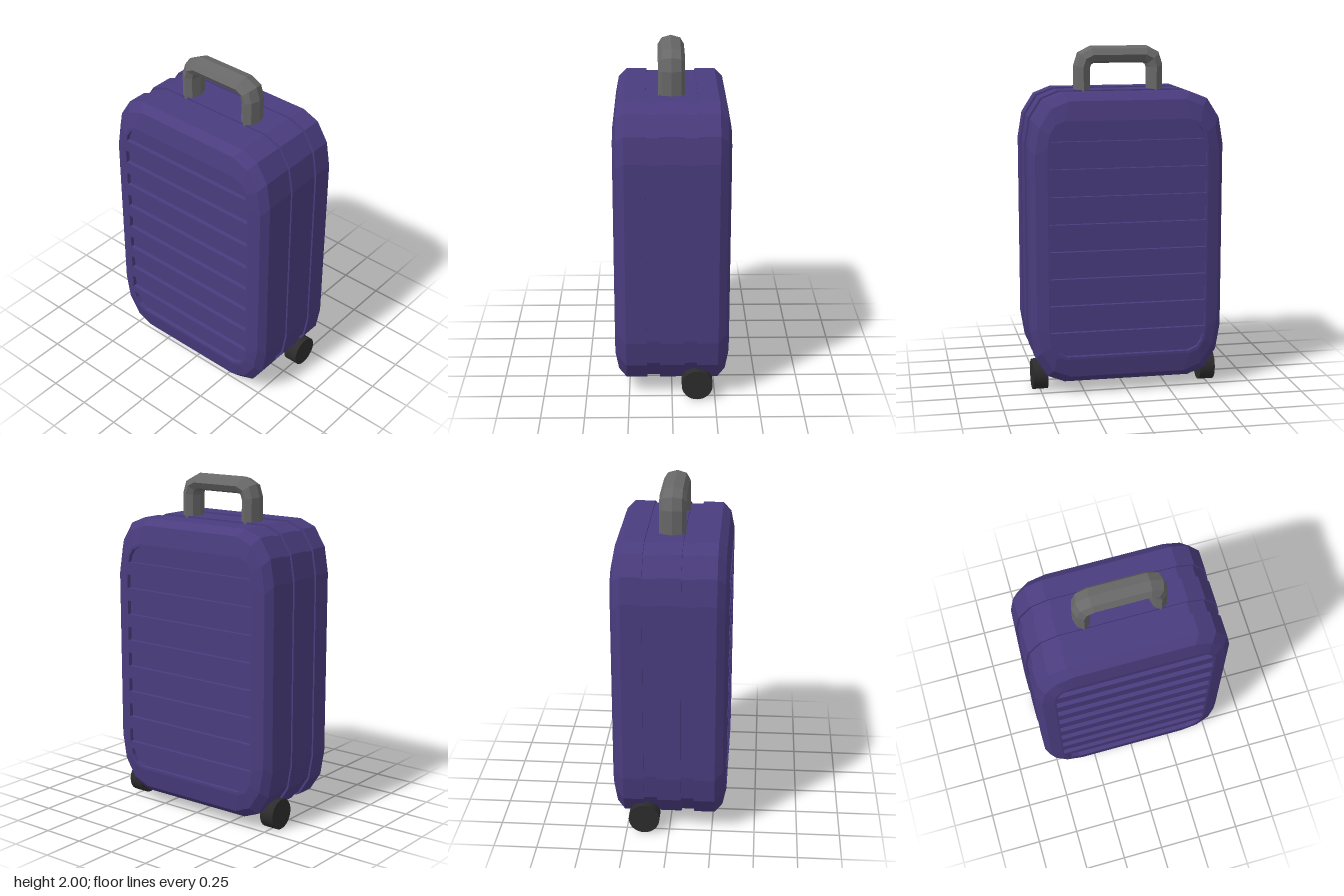
import * as THREE from 'three';

const paint = (color, flatShading = true) => new THREE.MeshStandardMaterial({ color, flatShading });
const MID = 0.91; // height of the body's centre

// Skin between closed rings of [x, y, z] points
function loft(rings) {
  const n = rings[0].length, index = [];
  for (let i = 0; i < rings.length - 1; i++) {
    for (let j = 0; j < n; j++) {
      const a = i * n + j, b = i * n + (j + 1) % n;
      index.push(a, a + n, b, b, a + n, b + n);
    }
  }
  const geo = new THREE.BufferGeometry();
  geo.setAttribute('position', new THREE.Float32BufferAttribute(rings.flat(2), 3));
  geo.setIndex(index);
  geo.computeVertexNormals();
  return geo;
}

// Rounded rectangle in (z, y) with three facets per corner of size k
function outline(hz, hy, k = 1) {
  const corner = [[0, 0.3], [0.025, 0.15], [0.095, 0.04], [0.195, 0]]
    .map(([dz, dy]) => [hz - dz * k, hy - dy * k]);
  const back = [...corner].reverse();
  return [
    ...corner,
    ...back.map(([z, y]) => [-z, y]),
    ...corner.map(([z, y]) => [-z, -y]),
    ...back.map(([z, y]) => [z, -y]),
  ].map(([z, y]) => [z, y + MID]);
}

const CAP = outline(0.465, 0.69, 0.5);
const toShape = (pts, Type = THREE.Shape) => new Type(pts.map(([u, v]) => new THREE.Vector2(u, v)));

// Grooves of a side panel: straight slots between two rounded end slots
function grooves() {
  const list = [];
  for (let i = 0; i < 7; i++) {
    const y = 0.42 + i * 0.1583;
    list.push([[-0.455, y - 0.041], [0.455, y - 0.041], [0.455, y + 0.041], [-0.455, y + 0.041]]);
  }
  const top = [[-0.445, 1.485], [0.445, 1.485], [0.435, 1.525], [0.41, 1.562], [0.36, 1.585],
    [-0.36, 1.585], [-0.41, 1.562], [-0.435, 1.525]];
  list.push(top, top.map(([u, v]) => [u, 2 * MID - v]).reverse());
  return list;
}

function sidePanel(side, material) {
  const group = new THREE.Group();
  group.name = side > 0 ? 'leftPanel' : 'rightPanel';
  const depth = 0.025;
  const face = toShape(CAP);
  face.holes = grooves().map(g => toShape(g, THREE.Path));
  const ribs = new THREE.Mesh(
    new THREE.ExtrudeGeometry(face, { depth, bevelEnabled: false }), material);
  ribs.name = 'ribs';
  const floor = new THREE.Mesh(new THREE.ShapeGeometry(toShape(CAP)), material);
  floor.name = 'grooveFloor';
  group.add(ribs, floor);
  group.rotation.y = side * Math.PI / 2;
  group.position.x = side * (0.33 - depth);
  return group;
}

// Shell skin with bevelled rims and two shallow channels running around it
function shellGeometry() {
  const full = outline(0.563, 0.84), sunk = outline(0.553, 0.83);
  const half = [
    [0.07, full], [0.07, sunk], [0.145, sunk], [0.145, full],
    [0.265, full], [0.31, outline(0.532, 0.8)], [0.33, CAP],
  ];
  const stations = [...[...half].reverse().map(([x, o]) => [-x, o]), ...half];
  return loft(stations.map(([x, o]) => o.map(([z, y]) => [x, y, z])));
}

// Oval section swept with mitred bends along the arch
function handleGeometry() {
  const side = [[0.215, 1.73], [0.215, 1.88], [0.2, 1.927], [0.155, 1.95]];
  const path = [...side, ...[...side].reverse().map(([z, y]) => [-z, y])]
    .map(([z, y]) => new THREE.Vector2(z, y));
  const normal = i => {
    const d = path[i + 1].clone().sub(path[i]).normalize();
    return new THREE.Vector2(d.y, -d.x);
  };
  const last = path.length - 1;
  const rings = path.map((p, i) => {
    const a = normal(Math.max(i - 1, 0)), b = normal(Math.min(i, last - 1));
    const n = a.clone().add(b).divideScalar(1 + a.dot(b));
    return Array.from({ length: 8 }, (_, j) => {
      const t = j * Math.PI / 4, r = 0.05 * Math.cos(t);
      return [-0.076 * Math.sin(t), p.y + n.y * r, p.x + n.x * r];
    });
  });
  return loft(rings);
}

export function createModel() {
  const model = new THREE.Group();
  model.name = 'suitcase';
  const purple = paint(0x4a3c7e);

  const shell = new THREE.Mesh(shellGeometry(), purple);
  shell.name = 'shell';
  model.add(shell, sidePanel(1, purple), sidePanel(-1, purple));

  const handle = new THREE.Mesh(handleGeometry(), paint(0x686868));
  handle.name = 'handle';
  model.add(handle);

  // Two wheels along the left bottom edge
  const rubber = paint(0x2c2c2c, false);
  const wheelGeo = new THREE.CylinderGeometry(0.09, 0.09, 0.088, 32).rotateX(Math.PI / 2);
  for (const s of [1, -1]) {
    const wheel = new THREE.Mesh(wheelGeo, rubber);
    wheel.name = s > 0 ? 'frontWheel' : 'backWheel';
    wheel.position.set(0.146, 0.09, s * 0.502);
    model.add(wheel);
  }
  return model;
}
